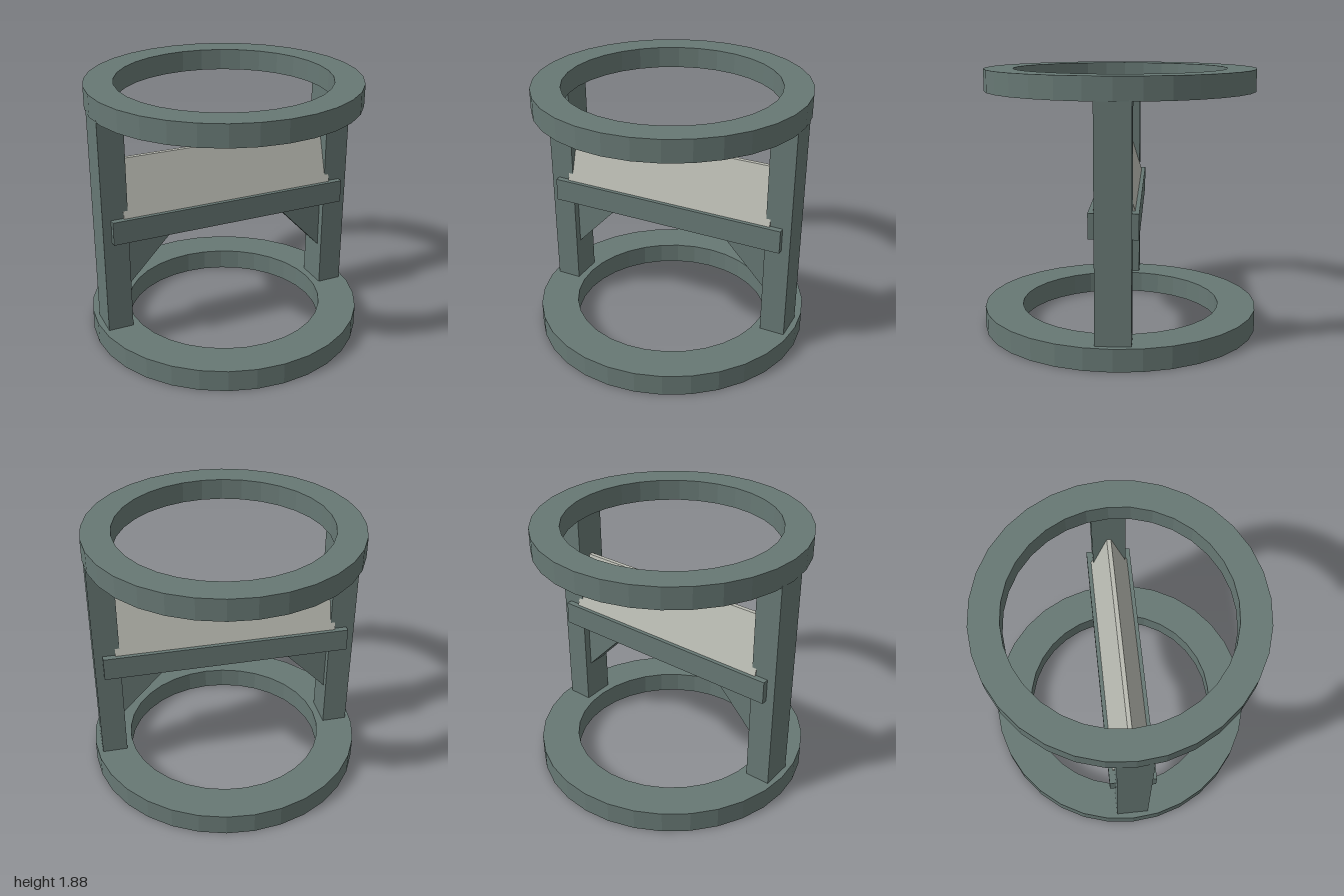
import * as THREE from 'three';

export function createModel() {
  const model = new THREE.Group();
  const frame = new THREE.MeshStandardMaterial({ name: 'greyGreenFrame', color: 0x677874, flatShading: true });
  const pale = new THREE.MeshStandardMaterial({ name: 'palePanel', color: 0xb9bbb2, flatShading: true });

  const add = (name, geometry, material, x = 0, y = 0, z = 0) => {
    const mesh = new THREE.Mesh(geometry, material);
    mesh.name = name;
    mesh.position.set(x, y, z);
    model.add(mesh);
    return mesh;
  };

  // Faceted flat ring with square edges
  const ring = (inner, outer, y0, y1) => new THREE.LatheGeometry(
    [[inner, y0], [outer, y0], [outer, y1], [inner, y1], [inner, y0]].map(([r, y]) => new THREE.Vector2(r, y)), 32);

  // Flat outline extruded about its own middle
  const slab = (points, depth) => {
    const shape = new THREE.Shape(points.map(([x, y]) => new THREE.Vector2(x, y)));
    return new THREE.ExtrudeGeometry(shape, { depth, bevelEnabled: false }).translate(0, 0, -depth / 2);
  };

  add('bottomRing', ring(0.725, 1, 0, 0.157), frame);
  add('topRing', ring(0.76, 0.965, 1.73, 1.885), frame);

  // Posts and corner braces, mirrored left and right
  for (const [side, s] of [['left', 1], ['right', -1]]) {
    add(side + 'Post', new THREE.BoxGeometry(0.182, 1.6, 0.24), frame, s * 0.864, 0.94, 0);
    const brace = add(side + 'Brace', slab([[0.78, 0.46], [0.78, 0.86], [0.4, 0.86]], 0.135), frame);
    if (s < 0) brace.rotation.y = Math.PI;
  }

  // Crossbeam that wraps the posts
  add('crossbeam', new THREE.BoxGeometry(1.79, 0.17, 0.328), frame, 0, 0.935, 0);

  // Wedge panel standing on the beam, tapering to a narrow ridge
  const wedge = slab([[-0.142, 1.0], [0.142, 1.0], [0.015, 1.415], [-0.015, 1.415]], 1.61);
  add('wedgePanel', wedge.rotateY(Math.PI / 2), pale);

  return model;
}
